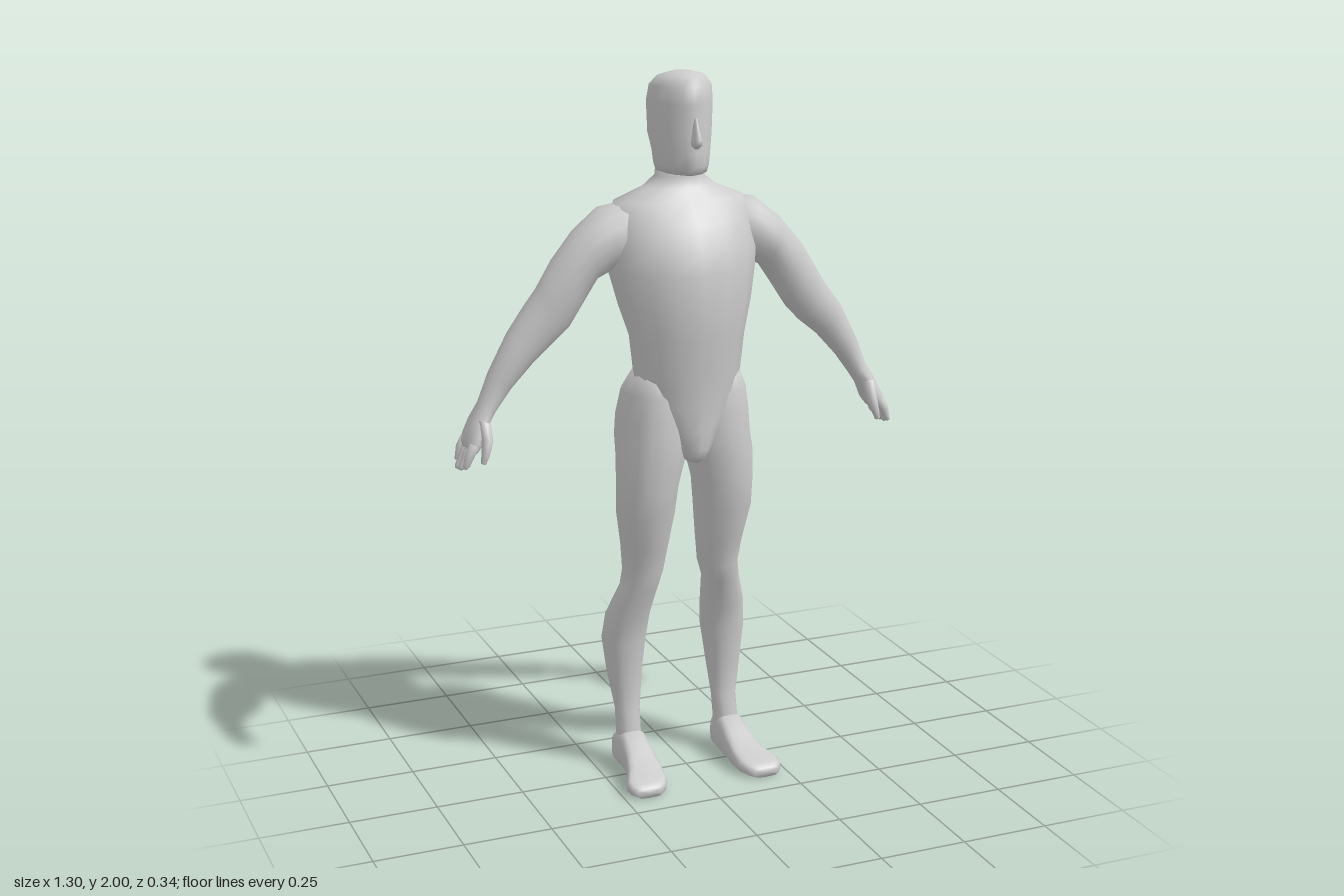
import * as THREE from 'three';

const SIDES = 16;
const material = new THREE.MeshStandardMaterial({ color: 0xcccccc });

// Signed power: e < 1 gives boxier rings, e > 1 gives more pointed ones
const bend = (v, e) => Math.sign(v) * Math.abs(v) ** e;

// Ring spanning p1..p2 in the xy plane, with front and back depth about zMid
function ring([x1, y1, x2, y2, front, back, zMid = (front + back) / 2], e = 1) {
  return Array.from({ length: SIDES }, (_, i) => {
    const t = (i / SIDES) * Math.PI * 2;
    const c = bend(Math.cos(t), e), s = bend(Math.sin(t), e);
    return new THREE.Vector3(
      (x1 + x2) / 2 + (c * (x2 - x1)) / 2,
      (y1 + y2) / 2 + (c * (y2 - y1)) / 2,
      zMid + s * (s > 0 ? front - zMid : zMid - back));
  });
}

// Skin a list of rings and close both ends
function loft(name, rings) {
  const pos = [], idx = [];
  rings.forEach(r => r.forEach(p => pos.push(p.x, p.y, p.z)));
  for (let i = 0; i < rings.length - 1; i++) {
    for (let j = 0; j < SIDES; j++) {
      const k = (j + 1) % SIDES, a = i * SIDES, b = a + SIDES;
      idx.push(a + j, a + k, b + k, a + j, b + k, b + j);
    }
  }
  [0, rings.length - 1].forEach((r, end) => {
    const mid = new THREE.Vector3();
    rings[r].forEach(p => mid.addScaledVector(p, 1 / SIDES));
    const m = pos.length / 3;
    pos.push(mid.x, mid.y, mid.z);
    for (let j = 0; j < SIDES; j++) {
      const a = r * SIDES + j, b = r * SIDES + ((j + 1) % SIDES);
      idx.push(m, end ? a : b, end ? b : a);
    }
  });
  const g = new THREE.BufferGeometry();
  g.setAttribute('position', new THREE.Float32BufferAttribute(pos, 3));
  g.setIndex(idx);
  g.computeVertexNormals();
  const mesh = new THREE.Mesh(g, material);
  mesh.name = name;
  return mesh;
}

// Symmetric part from rows of [y, half width, front, back, zMid]
const column = (name, rows, e) =>
  loft(name, rows.map(([y, w, f, b, m]) => ring([-w, y, w, y, f, b, m], e)));

// Limb on side s (+1 left, -1 right); mirroring swaps the ring's end points
const limb = (name, rows, s, e) => loft(name, rows.map(([x1, y1, x2, y2, f, b]) =>
  ring(s > 0 ? [x1, y1, x2, y2, f, b] : [-x2, y2, -x1, y1, f, b], e)));

function leg(s) {
  // y, inner x, outer x, front z, back z
  const rows = [
    [1.19, .02, .15, .07, -.085], [1.13, .002, .175, .085, -.13],
    [1.06, 0, .186, .092, -.153], [1.0, 0, .19, .095, -.155],
    [.94, .01, .195, .095, -.12], [.86, .03, .196, .087, -.11],
    [.78, .038, .195, .075, -.11], [.68, .05, .178, .045, -.113],
    [.6, .06, .17, .022, -.113], [.55, .075, .177, .015, -.115],
    [.46, .085, .208, -.02, -.15], [.38, .092, .215, -.035, -.167],
    [.28, .105, .203, -.043, -.15], [.17, .115, .187, -.05, -.112],
    [.1, .118, .187, -.028, -.109], [.04, .12, .187, -.03, -.108],
  ];
  return limb('leg', rows.map(([y, a, b, f, k]) => [a, y, b, y, f, k]), s, .9);
}

function foot(s) {
  // z, inner x, outer x, top y; rings run from heel to toe
  const rows = [
    [-.117, .128, .182, .06], [-.1, .118, .193, .095], [-.03, .112, .194, .115],
    [.03, .11, .2, .085], [.08, .108, .213, .06], [.13, .112, .235, .045],
    [.155, .124, .23, .037], [.172, .142, .216, .028],
  ];
  return loft('foot', rows.map(([z, a, b, top]) => Array.from({ length: SIDES }, (_, i) => {
    const t = (i / SIDES) * Math.PI * 2;
    return new THREE.Vector3(
      (s * (a + b)) / 2 + bend(Math.cos(t), .6) * (b - a) / 2,
      (top / 2) * (1 + bend(Math.sin(t), .6)), z);
  })));
}

function arm(s) {
  const g = new THREE.Group();
  g.name = s > 0 ? 'leftArm' : 'rightArm';
  // lower edge x, y, upper edge x, y, front z, back z
  g.add(limb('armAndPalm', [
    [.12, 1.5, .14, 1.66, .02, -.13], [.2, 1.47, .225, 1.645, .025, -.145],
    [.245, 1.45, .3, 1.585, .02, -.135], [.29, 1.38, .365, 1.51, .012, -.12],
    [.325, 1.325, .412, 1.435, .005, -.112], [.37, 1.28, .443, 1.39, -.01, -.115],
    [.425, 1.235, .495, 1.32, -.012, -.105], [.49, 1.165, .55, 1.215, -.025, -.1],
    [.535, 1.105, .582, 1.135, -.03, -.095], [.557, 1.075, .608, 1.09, -.012, -.108],
    [.578, 1.025, .628, 1.045, .002, -.113], [.595, 1.005, .628, 1.018, -.002, -.108],
  ], s));
  // Fingers, front to back, with their shortening
  [.012, .003, 0, .016].forEach((d, i) => {
    const z = -.013 - i * .028;
    g.add(limb('finger', [
      [.592, 1.025, .622, 1.038, z + .014, z - .014],
      [.612, .985 + d, .636, .996 + d, z + .013, z - .013],
      [.631 - d / 2, .96 + d, .648 - d / 2, .967 + d, z + .01, z - .01],
      [.64 - d / 2, .953 + d, .65 - d / 2, .957 + d, z + .004, z - .004],
    ], s));
  });
  g.add(limb('thumb', [
    [.56, 1.085, .592, 1.095, -.005, -.04], [.562, 1.04, .592, 1.05, .018, -.018],
    [.574, 1.005, .596, 1.012, .021, -.006], [.586, .98, .6, .985, .017, .002],
  ], s));
  return g;
}

export function createModel() {
  const model = new THREE.Group();
  model.name = 'figure';

  // Skull, face and jaw
  model.add(column('head', [
    [2.0, .03, 0, -.06], [1.99, .066, .035, -.088, -.04], [1.965, .086, .06, -.112, -.05],
    [1.92, .09, .068, -.138, -.055], [1.835, .086, .071, -.138, -.055],
    [1.79, .079, .078, -.108, -.05], [1.755, .075, .076, -.1, -.05],
    [1.735, .068, .068, -.095, -.05], [1.73, .055, .05, -.085, -.05],
  ], 1.1));
  model.add(column('nose', [
    [1.885, .006, .072, .04], [1.83, .013, .096, .04], [1.815, .015, .094, .04],
    [1.803, .008, .074, .04],
  ]));

  // Neck, chest, waist and pelvis
  model.add(column('torso', [
    [1.8, .06, -.01, -.1], [1.72, .069, 0, -.106], [1.69, .105, .004, -.13, -.05],
    [1.655, .19, .035, -.155, -.055], [1.6, .215, .085, -.172, -.055],
    [1.53, .22, .115, -.173, -.05], [1.47, .212, .135, -.172, -.04],
    [1.38, .192, .14, -.148, -.02], [1.29, .166, .137, -.118, 0],
    [1.19, .156, .121, -.102, 0], [1.1, .135, .115, -.1, 0],
    [1.03, .085, .112, -.07, .02], [.98, .05, .112, -.01, .05],
    [.95, .036, .1, .01, .05], [.937, .018, .08, .03, .05],
  ], 1.05));

  // Limbs, mirrored
  for (const s of [1, -1]) model.add(leg(s), foot(s), arm(s));
  return model;
}
